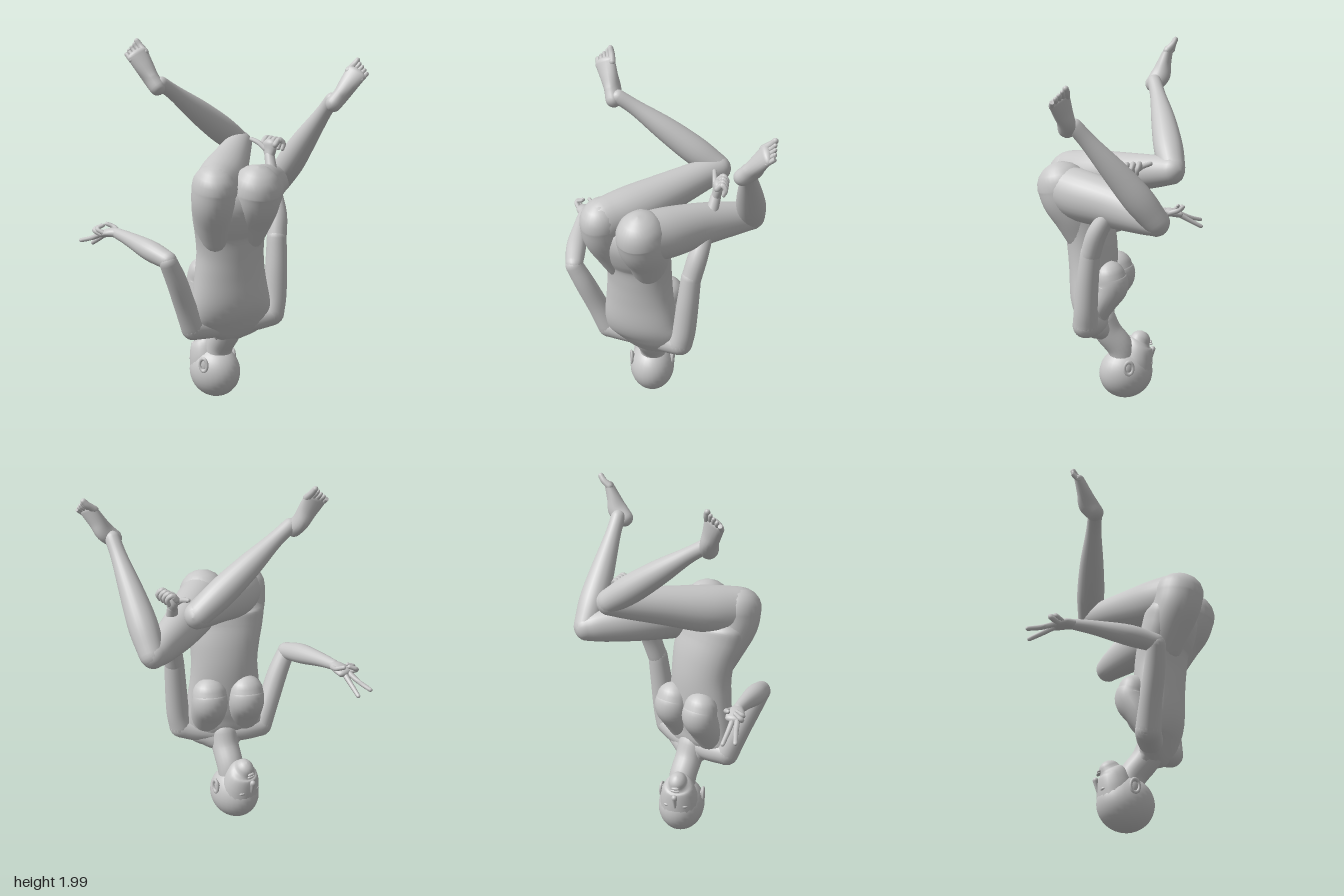
import * as THREE from 'three';

const V = (x, y, z) => new THREE.Vector3(x, y, z);

// Smooth rounded-end loft; each point is [x, y, z, radius, second radius]
function loftGeometry(pts, axis = V(1, 0, 0), sides = 20, steps = 5) {
  const path = new THREE.CatmullRomCurve3(pts.map(p => V(p[0], p[1], p[2])), false, 'catmullrom', 0.5);
  const size = new THREE.CatmullRomCurve3(pts.map(p => V(p[3], p[4] ?? p[3], 0)), false, 'catmullrom', 0.5);
  const n = (pts.length - 1) * steps, rings = [];
  const addRing = (t, scale, shift) => {
    const c = path.getPoint(t), r = size.getPoint(t), dir = path.getTangent(t);
    const u = axis.clone().addScaledVector(dir, -axis.dot(dir)).normalize();
    const v = dir.clone().cross(u);
    c.addScaledVector(dir, shift * Math.min(r.x, r.y));
    rings.push({ c, u: u.multiplyScalar(r.x * scale), v: v.multiplyScalar(r.y * scale) });
  };
  const cap = 5;
  for (let k = 0; k < cap; k++) {
    const a = (k / cap) * Math.PI / 2;
    addRing(0, Math.max(Math.sin(a), 0.002), -Math.cos(a));
  }
  for (let i = 0; i <= n; i++) addRing(i / n, 1, 0);
  for (let k = cap - 1; k >= 0; k--) {
    const a = (k / cap) * Math.PI / 2;
    addRing(1, Math.max(Math.sin(a), 0.002), Math.cos(a));
  }
  const pos = [], index = [];
  rings.forEach(({ c, u, v }, i) => {
    for (let j = 0; j < sides; j++) {
      const a = (j / sides) * Math.PI * 2;
      const p = c.clone().addScaledVector(u, Math.cos(a)).addScaledVector(v, Math.sin(a));
      pos.push(p.x, p.y, p.z);
      if (i < rings.length - 1) {
        const A = i * sides + j, B = i * sides + (j + 1) % sides;
        index.push(A, B, A + sides, B, B + sides, A + sides);
      }
    }
  });
  const g = new THREE.BufferGeometry();
  g.setAttribute('position', new THREE.Float32BufferAttribute(pos, 3));
  g.setIndex(index);
  g.computeVertexNormals();
  return g;
}

export function createModel() {
  const model = new THREE.Group();
  model.name = 'mannequin';
  const grey = new THREE.MeshStandardMaterial({ color: 0xc8c8c8 });
  grey.name = 'mannequin grey';

  const add = (parent, name, geometry) => {
    const m = new THREE.Mesh(geometry, grey);
    m.name = name;
    parent.add(m);
    return m;
  };
  const loft = (name, pts, axis, parent = model, sides = 20) =>
    add(parent, name, loftGeometry(pts, axis, sides));
  const ball = (parent, name, p, r) => {
    const m = add(parent, name, new THREE.SphereGeometry(1, 28, 20));
    m.position.set(...p);
    m.scale.set(...r);
    return m;
  };
  const digit = (parent, name, pts, r) =>
    loft(name, pts.map((p, i) => [...p, r * (1 - 0.12 * i)]), V(0.6, 0.5, 0.62), parent, 8);

  // Torso, hips at the top and shoulders at the bottom
  loft('torso', [
    [-0.06, 1.24, 0.19, 0.18, 0.1],
    [-0.06, 1.17, 0.195, 0.218, 0.14],
    [-0.057, 1.09, 0.175, 0.212, 0.143],
    [-0.05, 1.0, 0.142, 0.196, 0.135],
    [-0.045, 0.88, 0.125, 0.186, 0.135],
    [-0.045, 0.75, 0.12, 0.197, 0.13],
    [-0.04, 0.6, 0.12, 0.22, 0.12],
    [-0.03, 0.51, 0.105, 0.232, 0.095],
    [-0.03, 0.455, 0.09, 0.2, 0.072],
    [-0.035, 0.415, 0.065, 0.13, 0.062],
    [-0.04, 0.385, 0.045, 0.075, 0.05]
  ], V(1, 0, 0), model, 32);
  loft('rightSeat', [
    [-0.188, 1.265, 0.268, 0.112, 0.132],
    [-0.185, 1.18, 0.25, 0.113, 0.128],
    [-0.165, 1.08, 0.2, 0.104, 0.122],
    [-0.14, 0.97, 0.15, 0.088, 0.11]
  ], V(1, 0, 0), model, 28);
  loft('leftSeat', [
    [0.046, 1.235, 0.27, 0.13, 0.138],
    [0.046, 1.165, 0.252, 0.13, 0.13],
    [0.042, 1.08, 0.202, 0.12, 0.122],
    [0.03, 0.97, 0.15, 0.1, 0.11]
  ], V(1, 0, 0), model, 28);
  for (const x of [-0.146, 0.06]) {
    loft('chest', [
      [x, 0.74, 0.01, 0.095, 0.088],
      [x, 0.69, 0.003, 0.1, 0.096],
      [x, 0.61, 0.04, 0.098, 0.08],
      [x, 0.53, 0.075, 0.085, 0.06]
    ], V(1, 0, 0), model, 24);
  }
  loft('rightShoulder', [[-0.06, 0.46, 0.085, 0.065], [-0.16, 0.462, 0.095, 0.068], [-0.25, 0.468, 0.11, 0.068]], V(0, 1, 0));
  loft('leftShoulder', [[-0.01, 0.465, 0.085, 0.065], [0.1, 0.48, 0.098, 0.07], [0.2, 0.503, 0.115, 0.07]], V(0, 1, 0));
  loft('neck', [
    [-0.03, 0.47, 0.075, 0.08],
    [-0.035, 0.39, 0.035, 0.076],
    [-0.05, 0.3, -0.03, 0.075],
    [-0.06, 0.2, -0.05, 0.075]
  ]);

  // Head, crown down and turned aside
  const head = new THREE.Group();
  head.name = 'head';
  head.position.set(-0.068, 0, -0.058);
  head.rotation.y = Math.atan2(-0.48, -0.88);
  model.add(head);
  ball(head, 'skull', [0, 0.148, 0], [0.127, 0.146, 0.152]);
  loft('face', [
    [0, 0.17, 0.045, 0.108, 0.105],
    [0, 0.24, 0.058, 0.102, 0.095],
    [0, 0.3, 0.07, 0.083, 0.08],
    [0, 0.33, 0.085, 0.05, 0.058]
  ], V(1, 0, 0), head);
  loft('nose', [[0, 0.2, 0.143, 0.009], [0, 0.24, 0.153, 0.012], [0, 0.266, 0.158, 0.016]], V(1, 0, 0), head, 10);
  ball(head, 'upperLip', [0, 0.302, 0.144], [0.026, 0.007, 0.01]);
  ball(head, 'lowerLip', [0, 0.315, 0.142], [0.022, 0.008, 0.01]);
  for (const s of [-1, 1]) {
    ball(head, 'eye', [s * 0.045, 0.205, 0.126], [0.024, 0.012, 0.016]);
    const ear = add(head, 'earRim', new THREE.TorusGeometry(0.024, 0.008, 8, 20));
    ear.position.set(s * 0.119, 0.212, -0.022);
    ear.rotation.y = Math.PI / 2 + s * 0.15;
    ear.scale.y = 1.5;
    ball(head, 'earBowl', [s * 0.112, 0.212, -0.018], [0.01, 0.036, 0.022]);
  }

  // Legs
  loft('rightThigh', [
    [-0.18, 1.25, 0.265, 0.115, 0.13],
    [-0.09, 1.275, 0.12, 0.126, 0.13],
    [0.03, 1.318, -0.08, 0.104, 0.106],
    [0.13, 1.352, -0.25, 0.083, 0.086],
    [0.185, 1.37, -0.34, 0.07, 0.072]
  ], V(1, 0, 0.5), model, 28);
  loft('rightShin', [
    [0.178, 1.378, -0.345, 0.067],
    [0.06, 1.465, -0.305, 0.077],
    [-0.09, 1.578, -0.255, 0.066],
    [-0.24, 1.69, -0.2, 0.043],
    [-0.33, 1.752, -0.165, 0.039]
  ], V(0, 0, 1), model, 24);
  loft('leftThigh', [
    [0.045, 1.215, 0.268, 0.124, 0.134],
    [0.12, 1.195, 0.13, 0.127, 0.139],
    [0.23, 1.178, -0.06, 0.104, 0.12],
    [0.35, 1.16, -0.23, 0.081, 0.093],
    [0.41, 1.15, -0.3, 0.069, 0.073]
  ], V(1, 0, 0.5), model, 28);
  loft('leftShin', [
    [0.417, 1.155, -0.3, 0.068],
    [0.445, 1.27, -0.215, 0.079],
    [0.48, 1.4, -0.115, 0.068],
    [0.53, 1.57, 0.02, 0.044],
    [0.555, 1.655, 0.088, 0.04]
  ], V(1, 0, 0), model, 24);

  // Feet in a local frame: heel at the origin, toes along +z, ankle along +y
  const addFoot = (name, heel, forward, up, side) => {
    const foot = new THREE.Group();
    foot.name = name;
    const d = forward.normalize(), x = up.cross(d).normalize(), y = d.clone().cross(x);
    foot.applyMatrix4(new THREE.Matrix4().makeBasis(x, y, d).setPosition(heel));
    foot.scale.setScalar(1.13);
    model.add(foot);
    loft('sole', [
      [0, 0.042, 0.02, 0.038, 0.042],
      [0, 0.05, 0.075, 0.038, 0.048],
      [0, 0.038, 0.135, 0.046, 0.035],
      [0, 0.026, 0.2, 0.054, 0.023]
    ], V(1, 0, 0), foot);
    for (let i = 0; i < 5; i++) {
      const tx = side * (0.037 - i * 0.0195), end = 0.258 - i * 0.007;
      digit(foot, 'toe', [[tx, 0.026, 0.19], [tx, 0.036, 0.23], [tx, 0.036, end]], i ? 0.0125 : 0.018);
    }
  };
  addFoot('rightFoot', V(-0.348, 1.735, -0.105), V(-0.42, 0.8, -0.4), V(0.1, -0.4, -0.85), 1);
  addFoot('leftFoot', V(0.505, 1.645, 0.165), V(0.655, 0.74, -0.03), V(0.48, -0.48, -0.7), -1);

  // Right arm, bent outward
  loft('rightUpperArm', [
    [-0.25, 0.465, 0.11, 0.067],
    [-0.305, 0.6, 0.138, 0.059],
    [-0.363, 0.75, 0.175, 0.056],
    [-0.415, 0.865, 0.198, 0.049]
  ]);
  loft('rightForearm', [
    [-0.417, 0.875, 0.194, 0.048],
    [-0.475, 0.905, 0.075, 0.055],
    [-0.54, 0.935, -0.08, 0.039],
    [-0.585, 0.95, -0.19, 0.028]
  ], V(0, 1, 0));
  const rightHand = new THREE.Group();
  rightHand.name = 'rightHand';
  model.add(rightHand);
  loft('palm', [
    [-0.585, 0.95, -0.19, 0.031, 0.025],
    [-0.602, 0.948, -0.225, 0.046, 0.025],
    [-0.625, 0.935, -0.265, 0.046, 0.022]
  ], V(1, 0.1, -0.3), rightHand);
  digit(rightHand, 'indexFinger', [[-0.625, 0.925, -0.28], [-0.645, 0.89, -0.335], [-0.665, 0.855, -0.395]], 0.015);
  digit(rightHand, 'middleFinger', [[-0.65, 0.93, -0.27], [-0.69, 0.9, -0.325], [-0.735, 0.878, -0.38]], 0.015);
  digit(rightHand, 'ringFinger', [[-0.655, 0.935, -0.25], [-0.685, 0.955, -0.28], [-0.645, 0.975, -0.28]], 0.015);
  digit(rightHand, 'littleFinger', [[-0.645, 0.945, -0.23], [-0.675, 0.965, -0.255], [-0.64, 0.98, -0.26]], 0.013);
  digit(rightHand, 'thumb', [[-0.57, 0.95, -0.22], [-0.575, 0.965, -0.27], [-0.61, 0.98, -0.295]], 0.015);

  // Left arm, reaching up past the thigh
  loft('leftUpperArm', [
    [0.2, 0.505, 0.115, 0.07],
    [0.222, 0.6, 0.108, 0.064],
    [0.234, 0.76, 0.095, 0.06],
    [0.243, 0.92, 0.077, 0.054]
  ]);
  loft('leftForearm', [
    [0.243, 0.91, 0.078, 0.054],
    [0.262, 1.04, 0.035, 0.053],
    [0.272, 1.18, -0.05, 0.039],
    [0.28, 1.33, -0.125, 0.028]
  ]);
  const leftHand = new THREE.Group();
  leftHand.name = 'leftHand';
  model.add(leftHand);
  loft('palm', [
    [0.28, 1.33, -0.125, 0.03, 0.025],
    [0.285, 1.365, -0.135, 0.045, 0.027],
    [0.285, 1.395, -0.14, 0.045, 0.027]
  ], V(0.4, 0, 0.9), leftHand);
  for (let i = 0; i < 4; i++) {
    const x = 0.265 + i * 0.012, z = -0.185 + i * 0.03;
    digit(leftHand, 'finger', [[x, 1.395, z], [x + 0.025, 1.422, z - 0.005], [x + 0.05, 1.4, z], [x + 0.04, 1.37, z + 0.005]], 0.017);
  }
  digit(leftHand, 'thumb', [[0.265, 1.365, -0.15], [0.24, 1.395, -0.19], [0.215, 1.41, -0.235]], 0.016);

  return model;
}
